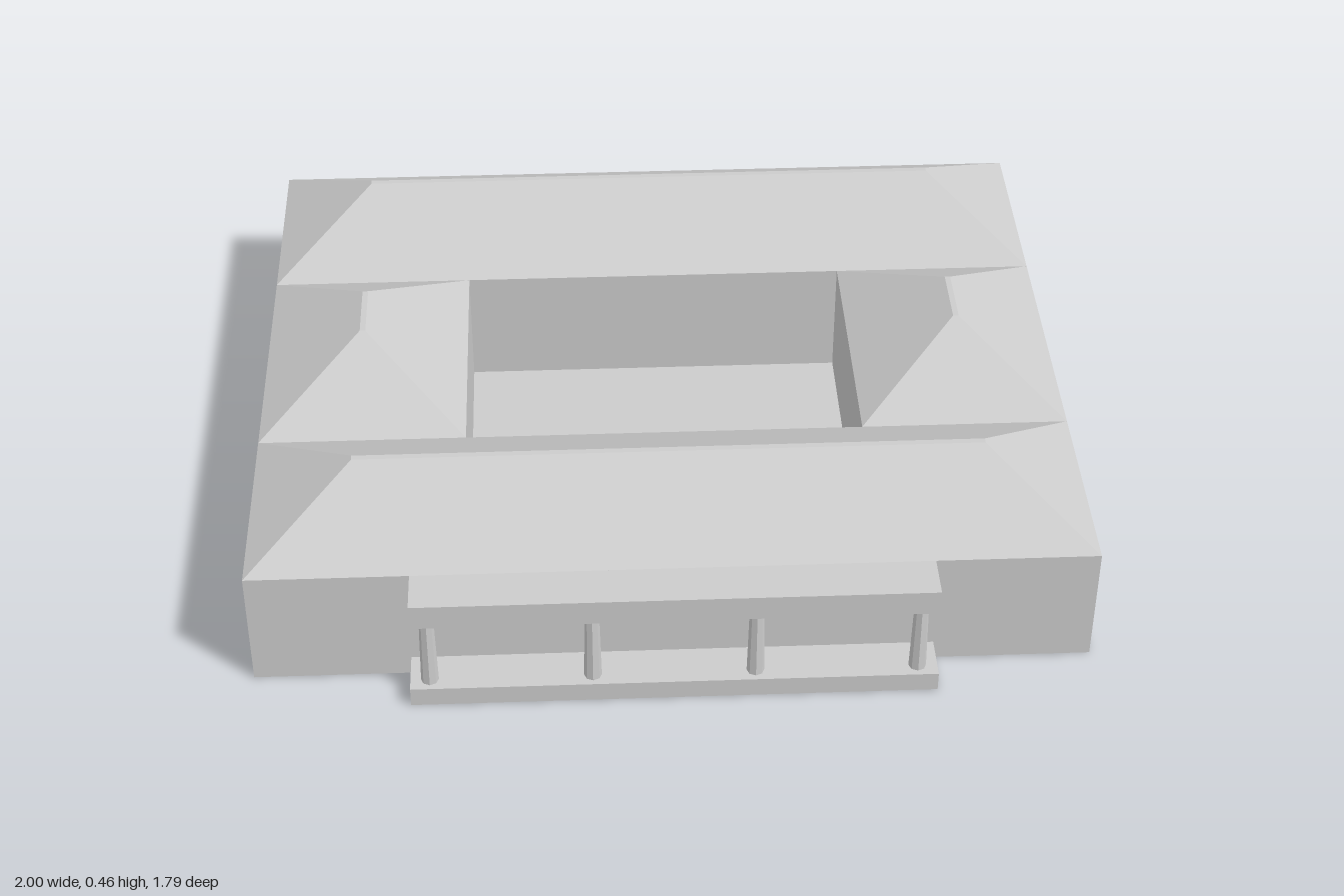
import * as THREE from 'three';

const EAVE = 0.308, RIDGE = 0.46;

// Faces between stacked rectangles [x0, x1, z0, z1, y], listed bottom to top.
// sides: 0 front, 1 left (+x), 2 back, 3 right (-x); cap closes the last rectangle.
function loftGeometry(rects, { sides = [0, 1, 2, 3], cap = true } = {}) {
  const rings = rects.map(([x0, x1, z0, z1, y]) =>
    [[x0, y, z1], [x1, y, z1], [x1, y, z0], [x0, y, z0]]);
  const positions = [];
  const quad = (a, b, c, d) => positions.push(...a, ...b, ...c, ...a, ...c, ...d);
  for (let i = 0; i < rings.length - 1; i++) {
    const lo = rings[i], hi = rings[i + 1];
    for (const s of sides) {
      const n = (s + 1) % 4;
      quad(lo[s], lo[n], hi[n], hi[s]);
    }
  }
  if (cap) quad(...rings[rings.length - 1]);
  const geometry = new THREE.BufferGeometry();
  geometry.setAttribute('position', new THREE.Float32BufferAttribute(positions, 3));
  geometry.computeVertexNormals();
  return geometry;
}

export function createModel() {
  const model = new THREE.Group();
  model.name = 'courtyardBuilding';
  const stone = new THREE.MeshStandardMaterial({ color: 0xcccccc });
  stone.name = 'paleGrey';
  stone.side = THREE.DoubleSide;
  stone.flatShading = true;

  const add = (parent, name, geometry) => {
    const mesh = new THREE.Mesh(geometry, stone);
    mesh.name = name;
    parent.add(mesh);
    return mesh;
  };

  // Hollow block, open below, with a flat ceiling and a hipped roof
  function addBlock(name, rect, ridge, wallSides) {
    const block = new THREE.Group();
    block.name = name;
    add(block, 'walls', loftGeometry([[...rect, 0], [...rect, EAVE]], { sides: wallSides, cap: false }));
    add(block, 'ceiling', loftGeometry([[...rect, EAVE]]));
    add(block, 'hippedRoof', loftGeometry([[...rect, EAVE], [...ridge, RIDGE]]));
    model.add(block);
  }

  // Long halls at the back and front
  addBlock('backHall', [-1, 1, -0.893, -0.388], [-0.75, 0.75, -0.648, -0.633]);
  addBlock('frontHall', [-1, 1, 0.278, 0.783], [-0.75, 0.75, 0.523, 0.538]);

  // Side wings between the halls; their ends are the hall walls
  addBlock('leftWing', [0.49, 1, -0.388, 0.278], [0.738, 0.752, -0.138, 0.03], [1, 3]);
  addBlock('rightWing', [-1, -0.49, -0.388, 0.278], [-0.752, -0.738, -0.138, 0.03], [1, 3]);

  // Courtyard paving
  add(model, 'courtyardFloor', loftGeometry([[-0.49, 0.49, -0.388, 0.278, 0]]));

  // Porch: hollow step, four tapered columns and a flat roof slab
  const porch = new THREE.Group();
  porch.name = 'porch';
  model.add(porch);
  const step = [-0.624, 0.62, 0.783, 0.893];
  add(porch, 'porchStep', loftGeometry([[...step, 0], [...step, 0.05]]));
  const slab = new THREE.BoxGeometry(1.226, EAVE - 0.243, 0.11);
  add(porch, 'porchRoof', slab).position.set(-0.002, (EAVE + 0.243) / 2, 0.838);
  const columnGeometry = new THREE.CylinderGeometry(0.017, 0.021, 0.195, 8, 1, true);
  for (let i = 0; i < 4; i++) {
    add(porch, 'porchColumn', columnGeometry).position.set(-0.578 + i * 0.3835, 0.1475, 0.859);
  }
  return model;
}
